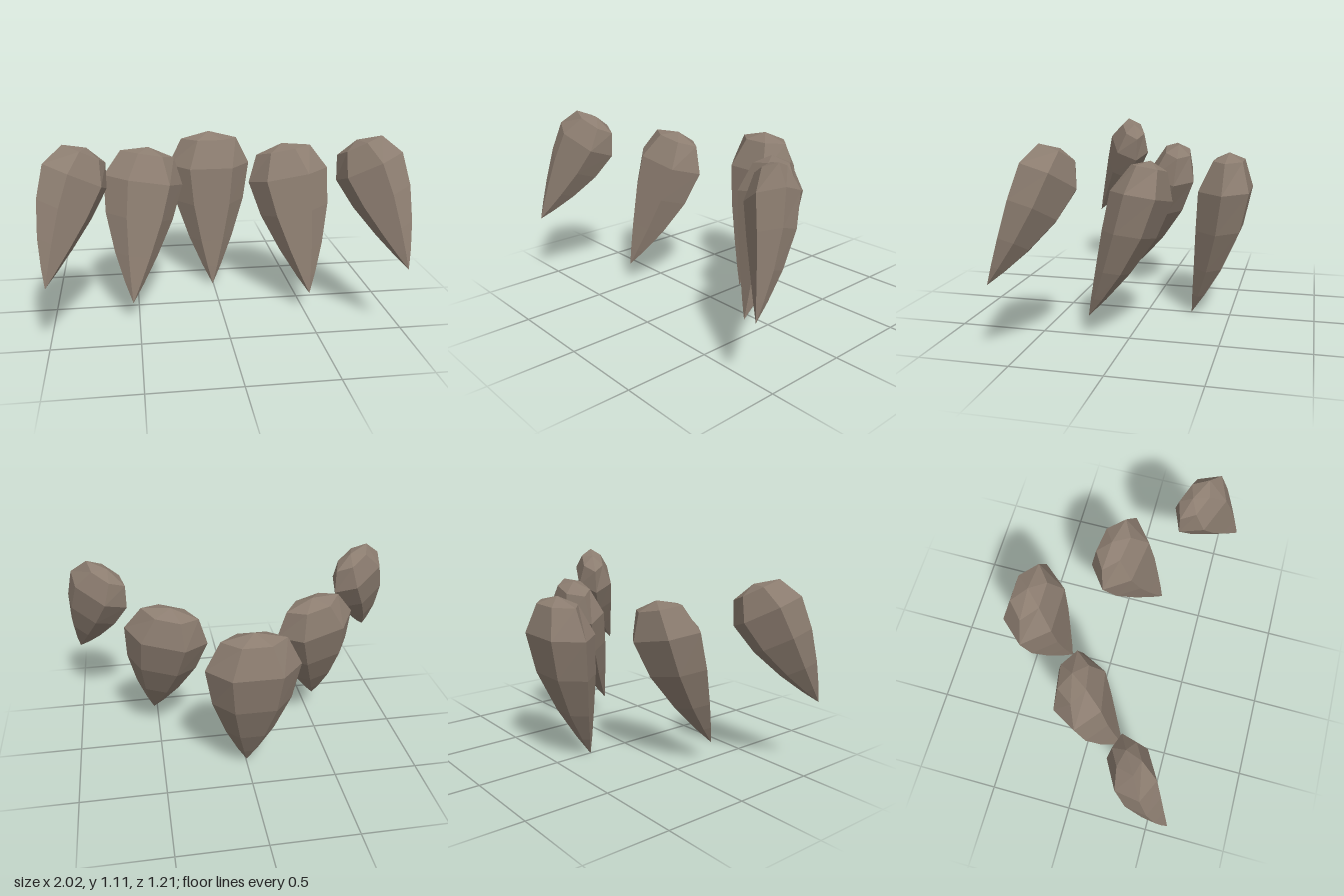
import * as THREE from 'three';

// Cross-sections below the crown point: drop, half width at the sides,
// half width of front/back faces, then z of front, sides and back.
const RINGS = [
  [-0.045, 0.18, 0.08, 0.085, 0.005, -0.085],
  [-0.215, 0.265, 0.137, 0.16, 0.01, -0.13],
  [-0.45, 0.225, 0.115, 0.175, 0.045, -0.08],
  [-0.69, 0.142, 0.07, 0.19, 0.105, 0.025],
  [-0.87, 0.062, 0.03, 0.203, 0.165, 0.13],
];
const TIP = [0, -0.99, 0.21];

// Six-sided faceted claw, crown at the origin, tip down and forward
function clawGeometry() {
  const pos = [0, 0, 0];
  for (const [y, w, h, zf, zs, zb] of RINGS) {
    pos.push(w, y, zs, h, y, zf, -h, y, zf, -w, y, zs, -h, y, zb, h, y, zb);
  }
  pos.push(...TIP);
  const index = [];
  const last = 1 + RINGS.length * 6;
  const base = last - 6;
  for (let j = 0; j < 6; j++) {
    const k = (j + 1) % 6;
    index.push(0, 1 + k, 1 + j);
    for (let i = 0; i < RINGS.length - 1; i++) {
      const a = 1 + i * 6 + j, b = 1 + i * 6 + k;
      index.push(a, b, b + 6, a, b + 6, a + 6);
    }
    index.push(base + j, base + k, last);
  }
  const indexed = new THREE.BufferGeometry();
  indexed.setAttribute('position', new THREE.Float32BufferAttribute(pos, 3));
  indexed.setIndex(index);
  const geo = indexed.toNonIndexed();
  geo.computeVertexNormals();
  return geo;
}

// Places a claw from its crown and tip; yaw is the z slope of its width
function placeClaw(mesh, crown, tip, yaw) {
  const down = tip.clone().sub(crown);
  const length = new THREE.Vector3(...TIP).length();
  const scale = down.length() / length;
  const cos = -TIP[1] / length, sin = TIP[2] / length;
  const u = new THREE.Vector3(1, -(down.x + down.z * yaw) / down.y, yaw).normalize();
  const up = down.clone().normalize().negate();
  const w = u.clone().cross(up);
  const y = up.clone().multiplyScalar(cos).addScaledVector(w, sin);
  const z = w.clone().multiplyScalar(cos).addScaledVector(up, -sin);
  mesh.quaternion.setFromRotationMatrix(new THREE.Matrix4().makeBasis(u, y, z));
  mesh.scale.setScalar(scale);
  mesh.position.copy(crown);
}

export function createModel() {
  const group = new THREE.Group();
  const material = new THREE.MeshStandardMaterial({ color: 0x8c7d70, flatShading: true });
  material.name = 'brownHorn';
  const geo = clawGeometry();

  const addClaw = (name, crown, tip, yaw) => {
    const mesh = new THREE.Mesh(geo, material);
    mesh.name = name;
    placeClaw(mesh, new THREE.Vector3(...crown), new THREE.Vector3(...tip), yaw);
    group.add(mesh);
  };

  addClaw('middleClaw', [-0.005, 0.993, -0.475], [-0.005, 0.003, -0.265], 0);

  // Mirrored pairs, fanning out and forward
  const pairs = [
    ['InnerClaw', [0.4, 0.985, -0.1], [0.525, 0.125, 0.225], 0.18],
    ['OuterClaw', [0.74, 1.08, 0.285], [0.975, 0.415, 0.605], 0.52],
  ];
  for (const [name, crown, tip, yaw] of pairs) {
    const flip = ([x, y, z]) => [-x - 0.01, y, z];
    addClaw('left' + name, crown, tip, yaw);
    addClaw('right' + name, flip(crown), flip(tip), -yaw);
  }
  return group;
}
